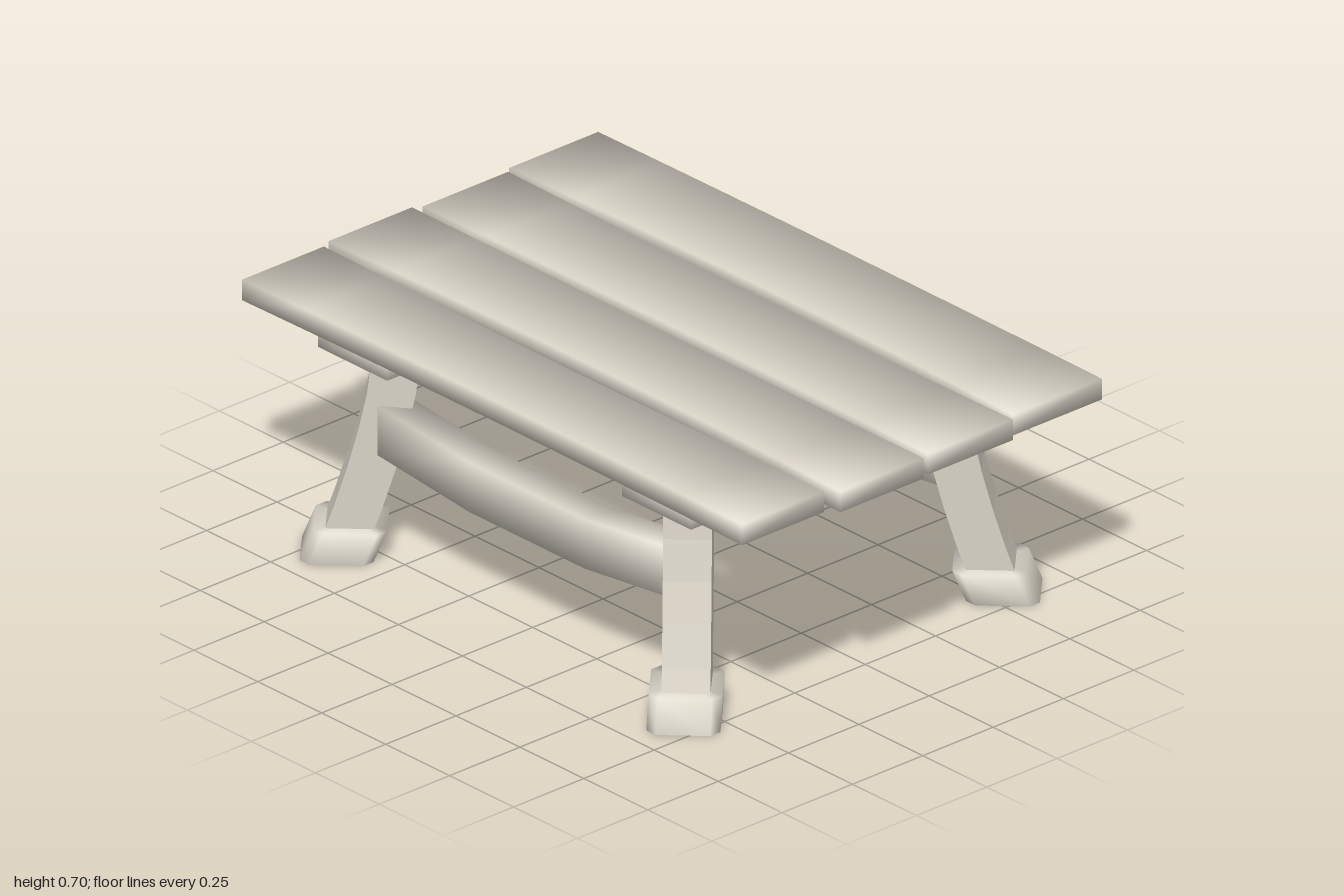
import * as THREE from 'three';
import { mergeVertices } from 'three/addons/utils/BufferGeometryUtils.js';

const wood = new THREE.MeshStandardMaterial({ color: 0xd9d3c7 });
wood.name = 'paleWood';

function add(parent, name, geometry) {
  const mesh = new THREE.Mesh(geometry, wood);
  mesh.name = name;
  parent.add(mesh);
  return mesh;
}

// Box with softly rounded shading; place(x, y, z) maps the unit box to its final shape
function softBox(segments, place) {
  const g = new THREE.BoxGeometry(1, 1, 1, segments, 1, 1);
  const p = g.attributes.position, v = new THREE.Vector3();
  const side = (c) => (Math.abs(c) > 0.499 ? Math.sign(c) : 0);
  for (let i = 0; i < p.count; i++) {
    v.fromBufferAttribute(p, i);
    const n = new THREE.Vector3(side(v.x), side(v.y), side(v.z)).normalize();
    g.attributes.normal.setXYZ(i, n.x, n.y, n.z);
    p.setXYZ(i, ...place(v.x, v.y, v.z));
  }
  return g;
}

// Splayed, gently curved leg of diamond section
function legGeometry(sx, sz) {
  const g = new THREE.CylinderGeometry(0.091, 0.091, 0.56, 4, 5).toNonIndexed();
  const p = g.attributes.position;
  for (let i = 0; i < p.count; i++) {
    const y = p.getY(i) + 0.32;
    const t = Math.pow(Math.max(0, (0.585 - y) / 0.495), 1.4);
    p.setXYZ(i, p.getX(i) + sx * (0.57 + 0.087 * t), y, p.getZ(i) + sz * (0.455 + 0.085 * t));
  }
  g.computeVertexNormals();
  return g;
}

// Hollow slanted foot: a turned square with cut corners, recessed underneath
function footGeometry(sx, sz) {
  const profile = [[0, 0.05], [0.095, 0.05], [0.1, 0], [0.121, 0], [0.121, 0.09], [0, 0.09]];
  const lathe = new THREE.LatheGeometry(profile.map(([r, y]) => new THREE.Vector2(r, y)), 8);
  const p = lathe.attributes.position;
  for (let i = 0; i < p.count; i++) {
    const k = Math.floor(i / profile.length);
    const [r, y] = profile[i % profile.length];
    const a = Math.floor(k / 2) * Math.PI / 2 + (k % 2 ? 0.15 : -0.15);
    const t = y / 0.09;
    p.setXYZ(i, r * Math.sin(a) + sx * (0.678 - 0.023 * t), y,
      r * Math.cos(a) + sz * (0.568 - 0.028 * t));
  }
  lathe.deleteAttribute('uv');
  lathe.deleteAttribute('normal');
  const g = mergeVertices(lathe);
  g.computeVertexNormals();
  return g;
}

export function createModel() {
  const table = new THREE.Group();
  table.name = 'plankTable';

  // Top planks: x range, back and front edges, and the bow of each edge at mid length
  const planks = [
    [-1, 0.97, -0.642, -0.325, -0.006, -0.02],
    [-0.985, 0.99, -0.308, -0.004, 0.01, -0.01],
    [-1, 1, 0.02, 0.316, 0.002, -0.018],
    [-0.985, 0.97, 0.347, 0.638, 0.009, -0.01],
  ];
  planks.forEach(([x0, x1, back, front, bowBack, bowFront], i) => {
    add(table, 'topPlank' + (i + 1), softBox(8, (x, y, z) => {
      const bow = 1 - 4 * x * x;
      const edge = z < 0 ? back + bowBack * bow : front + bowFront * bow;
      return [x0 + (x1 - x0) * (x + 0.5), 0.675 + 0.06 * y, edge];
    }));
  });

  // Cross beams under the planks
  for (const [name, cx] of [['rightBeam', -0.6], ['leftBeam', 0.588]]) {
    add(table, name, softBox(1, (x, y, z) => [cx + 0.27 * x, 0.615 + 0.06 * y, 1.195 * z - 0.003]));
  }

  const frame = new THREE.Group();
  frame.name = 'frame';
  frame.position.x = -0.009;
  table.add(frame);

  for (const [end, sz] of [['front', 1], ['back', -1]]) {
    // Legs with feet
    for (const [hand, sx] of [['Left', 1], ['Right', -1]]) {
      add(frame, end + hand + 'Leg', legGeometry(sx, sz));
      add(frame, end + hand + 'Foot', footGeometry(sx, sz));
    }
    // Sagging rail between the legs, in three straight runs
    const xs = [-0.56, -0.2, 0.25, 0.56];
    const ys = [0.381, 0.346, 0.346, 0.381];
    add(frame, end + 'Rail', softBox(3, (x, y, z) => {
      const k = Math.round((x + 0.5) * 3);
      return [xs[k], ys[k] + 0.145 * y, sz * 0.485 + 0.1 * z];
    }));
  }
  return table;
}
